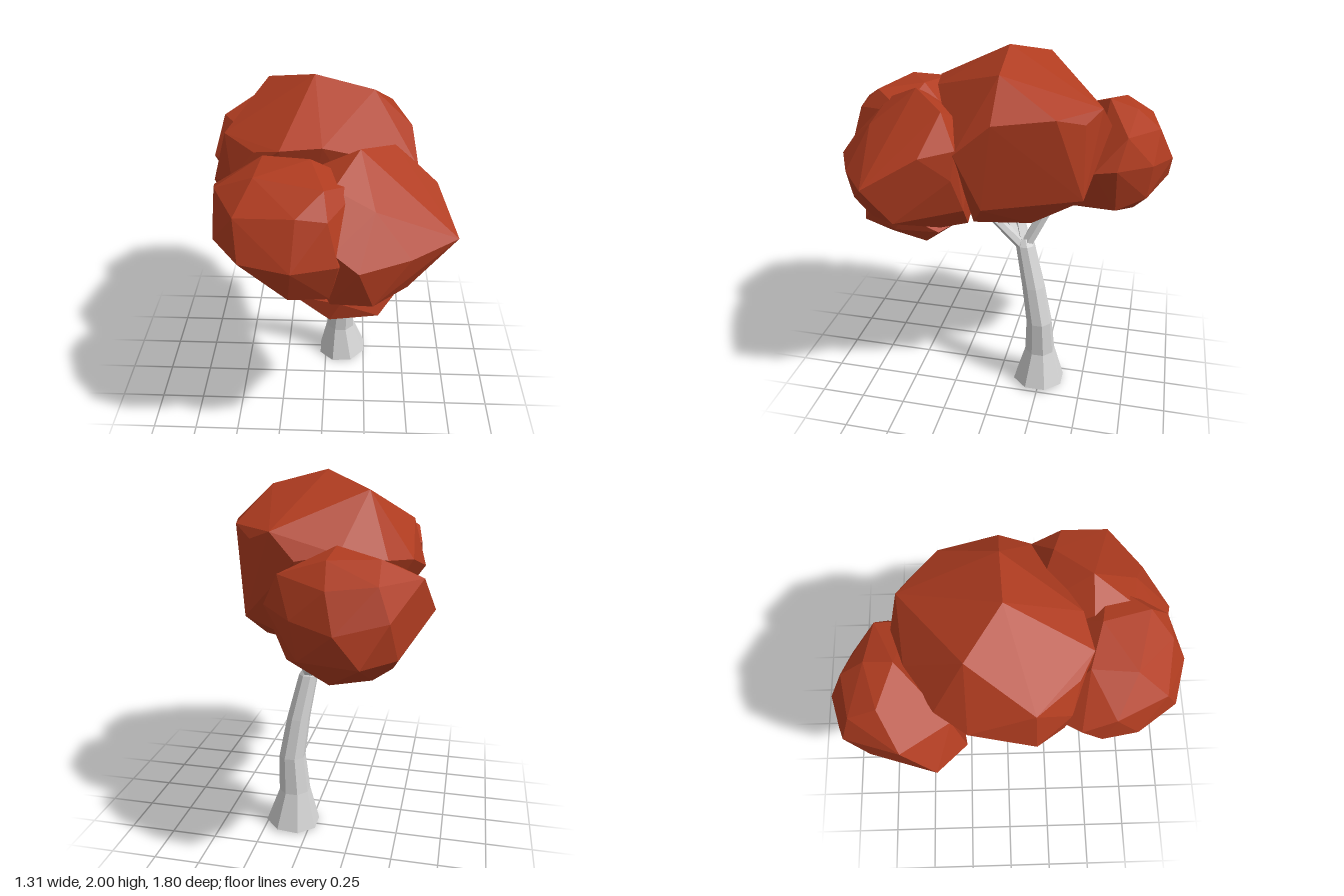
import * as THREE from 'three';
import { ConvexGeometry } from 'three/addons/geometries/ConvexGeometry.js';

const foliage = new THREE.MeshStandardMaterial({ color: 0xb03c20, flatShading: true });
foliage.name = 'rust foliage';
const bark = new THREE.MeshStandardMaterial({ color: 0xd4d4d4, flatShading: true, side: THREE.DoubleSide });
bark.name = 'pale bark';

// Faceted leaf clump: the hull of a few corner points
function clump(name, points) {
  const mesh = new THREE.Mesh(new ConvexGeometry(points.map(p => new THREE.Vector3(...p))), foliage);
  mesh.name = name;
  return mesh;
}

// Tapered limb through horizontal rings [x, y, z, radius], listed from the bottom up
function limb(name, rings, sides, baseTilt = 0) {
  const geo = new THREE.CylinderGeometry(1, 1, 1, sides, rings.length - 1, true, Math.PI / sides);
  const pos = geo.attributes.position;
  for (let i = 0; i < pos.count; i++) {
    const row = rings.length - 1 - Math.floor(i / (sides + 1));
    const [x, y, z, r] = rings[row];
    const dx = pos.getX(i) * r, dz = pos.getZ(i) * r;
    pos.setXYZ(i, x + dx, y + (row === 0 ? dx * baseTilt : 0), z + dz);
  }
  const flat = geo.toNonIndexed();
  flat.computeVertexNormals();
  const mesh = new THREE.Mesh(flat, bark);
  mesh.name = name;
  return mesh;
}

export function createModel() {
  const tree = new THREE.Group();
  tree.name = 'tree';

  // Leaning trunk with a flared foot
  tree.add(limb('trunk', [
    [0.107, 0.014, -0.24, 0.154], [0.095, 0.22, -0.24, 0.089], [0.108, 0.43, -0.233, 0.075],
    [0.08, 0.65, -0.19, 0.066], [0.035, 0.89, -0.13, 0.055], [0.033, 0.93, -0.125, 0.03],
  ], 8, 0.08));

  // Branches fanning out from the fork, each closed at the tip
  const fork = [0.035, 0.87, -0.125];
  const tips = [[0.09, 1.16, 0.13], [-0.05, 1.17, 0.07], [-0.09, 1.17, -0.03], [-0.03, 1.18, -0.285]];
  tips.forEach(([x, y, z], i) => tree.add(limb('branch' + (i + 1),
    [[...fork, 0.042], [x, y, z, 0.034], [x, y, z, 0]], 6)));

  // Large central crown
  tree.add(clump('crown', [
    [-0.05, 2, -0.02], [0.25, 1.92, -0.03], [-0.3, 1.92, -0.2], [0, 1.62, -0.57],
    [0.13, 1.75, -0.53], [0.25, 1.7, -0.46], [0.36, 1.75, -0.33], [0.45, 1.73, -0.03],
    [0.48, 1.58, 0.15], [0.42, 1.27, 0.03], [0.28, 1.31, -0.47], [0.05, 1.18, -0.4],
    [0, 1.12, 0.15], [-0.2, 1.78, 0.4], [0, 1.78, 0.36], [-0.33, 1.74, 0.33],
    [-0.5, 1.74, 0.12], [-0.57, 1.48, 0.13], [-0.53, 1.58, -0.2], [-0.42, 1.6, -0.36],
    [-0.2, 1.65, -0.5], [-0.4, 1.24, 0.1], [0.3, 1.14, 0.1], [-0.3, 1.2, -0.2], [0.25, 1.14, -0.2],
    [-0.45, 1.58, 0.3], [-0.44, 1.34, 0.28], [-0.1, 1.13, 0.2], [-0.1, 1.13, -0.15],
  ]));

  // Clump behind the crown
  tree.add(clump('backClump', [
    [-0.42, 1.66, -0.62], [-0.18, 1.66, -0.69], [-0.2, 1.7, -0.54], [-0.61, 1.56, -0.52],
    [-0.49, 1.42, -0.82], [-0.43, 1.57, -0.77], [-0.25, 1.37, -0.9], [-0.37, 1.22, -0.89],
    [-0.2, 1.55, -0.82], [-0.03, 1.4, -0.8], [-0.06, 1.2, -0.78], [0.14, 1.42, -0.62],
    [0.14, 1.4, -0.5], [0.06, 1.58, -0.66], [-0.66, 1.37, -0.36], [-0.53, 1.17, -0.3],
    [-0.47, 1.08, -0.45], [-0.24, 1.05, -0.5], [-0.2, 1.07, -0.71], [-0.4, 1.1, -0.68],
    [-0.52, 1.22, -0.72], [0.03, 1.15, -0.62], [0.04, 1.17, -0.42], [-0.12, 1.09, -0.28],
    [-0.52, 1.36, -0.21], [-0.46, 1.56, -0.28],
  ]));

  // Front clump on the -x side
  tree.add(clump('frontRightClump', [
    [-0.3, 1.75, 0.6], [0.02, 1.74, 0.69], [-0.05, 1.77, 0.45], [-0.28, 1.75, 0.38],
    [-0.5, 1.64, 0.5], [-0.53, 1.57, 0.34], [-0.38, 1.63, 0.75], [-0.53, 1.44, 0.45],
    [-0.5, 1.44, 0.63], [-0.36, 1.44, 0.83], [-0.12, 1.44, 0.9], [0.09, 1.44, 0.84],
    [-0.1, 1.66, 0.8], [0.04, 1.64, 0.79], [-0.42, 1.31, 0.55], [-0.14, 1.24, 0.82],
    [0.05, 1.22, 0.78], [-0.25, 1.21, 0.4], [0.05, 1.17, 0.35], [0.2, 1.68, 0.5],
    [0.2, 1.4, 0.6], [0.1, 1.5, 0.15], [-0.4, 1.5, 0.15],
  ]));

  // Front clump on the +x side
  tree.add(clump('frontLeftClump', [
    [0.18, 1.81, 0.42], [0.35, 1.75, 0.24], [0.56, 1.58, 0.3], [0.65, 1.43, 0.57],
    [0.58, 1.23, 0.44], [0.42, 1.42, 0.74], [0.18, 1.42, 0.86], [0.06, 1.5, 0.82],
    [0.25, 1.62, 0.66], [0.06, 1.71, 0.62], [0.05, 1.19, 0.78], [0.25, 1.19, 0.79],
    [0.42, 1.18, 0.62], [0.4, 1.14, 0.25], [0.3, 1.13, 0.13], [0.02, 1.13, 0.17],
    [0.42, 1.26, 0.12], [0.49, 1.45, 0.16], [0.47, 1.6, 0.14], [0.1, 1.6, 0.13],
    [-0.06, 1.7, 0.42], [-0.1, 1.45, 0.6], [-0.02, 1.21, 0.6],
  ]));

  // Small clump hanging below the front
  tree.add(clump('lowerClump', [
    [0.08, 0.95, 0.45], [0.26, 0.97, 0.38], [0.2, 0.98, 0.6], [-0.02, 1, 0.6],
    [-0.13, 1.06, 0.45], [-0.21, 1.17, 0.5], [-0.12, 1.17, 0.7], [0.05, 1.09, 0.77],
    [0.1, 1.19, 0.78], [0.28, 1.08, 0.72], [0.4, 1.1, 0.5], [0.42, 1.2, 0.45],
    [0.38, 1.19, 0.64], [0.35, 1.08, 0.28], [0.1, 1.09, 0.15], [0.05, 1.0, 0.28],
    [-0.12, 1.15, 0.25], [0.1, 1.3, 0.45],
  ]));

  return tree;
}
